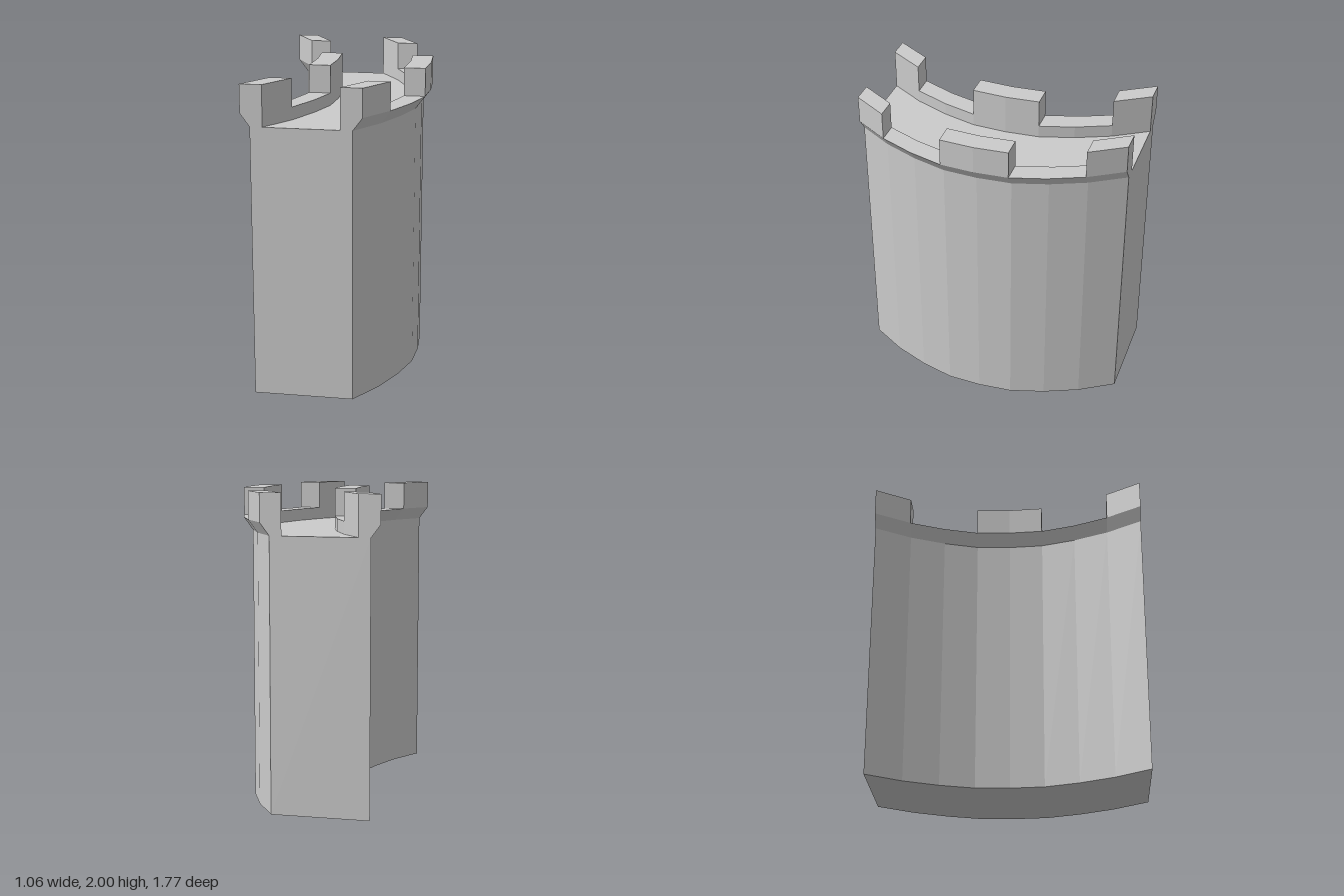
import * as THREE from 'three';

const HALF = 0.883;                               // half length of the wall along z
const STEP = HALF / 4;                            // length of one facet
const BEND = [0, -0.013, -0.077, -0.171, -0.307]; // x shift at each facet line, from the middle out
const FLOOR = 1.74, LEDGE = 1.82, TOP = 2;

// Extrude a cross-section over facet lines first..last (-4 to 4), then bend it along the arc
function sweep(name, points, first, last, material) {
  const shape = new THREE.Shape(points.map(([x, y]) => new THREE.Vector2(x, y)));
  const geometry = new THREE.ExtrudeGeometry(shape, {
    depth: (last - first) * STEP, steps: last - first, bevelEnabled: false,
  });
  geometry.translate(0, 0, first * STEP);
  const pos = geometry.attributes.position;
  for (let i = 0; i < pos.count; i++) {
    const line = Math.round(Math.abs(pos.getZ(i)) / STEP);
    pos.setX(i, pos.getX(i) + BEND[line]);
  }
  geometry.computeVertexNormals();
  const mesh = new THREE.Mesh(geometry, material);
  mesh.name = name;
  return mesh;
}

export function createModel() {
  const group = new THREE.Group();
  group.name = 'curvedCastleWall';
  const stone = new THREE.MeshStandardMaterial({ color: 0xcccccc, flatShading: true });

  // Wall with a sunken walkway between two overhanging ledges
  group.add(sweep('wall', [
    [-0.163, 0], [0.465, 0], [0.465, FLOOR], [0.525, LEDGE], [0.389, LEDGE], [0.389, FLOOR],
    [-0.085, FLOOR], [-0.085, LEDGE], [-0.223, LEDGE], [-0.163, FLOOR],
  ], -4, 4, stone));

  // Three merlons on each ledge
  const ledges = [['outerMerlon', 0.389, 0.525], ['innerMerlon', -0.223, -0.085]];
  for (const [name, x0, x1] of ledges) {
    const section = [[x0, LEDGE], [x1, LEDGE], [x1, TOP], [x0, TOP]];
    for (const [first, last] of [[-4, -3], [-1, 1], [3, 4]]) {
      group.add(sweep(name, section, first, last, stone));
    }
  }
  return group;
}
